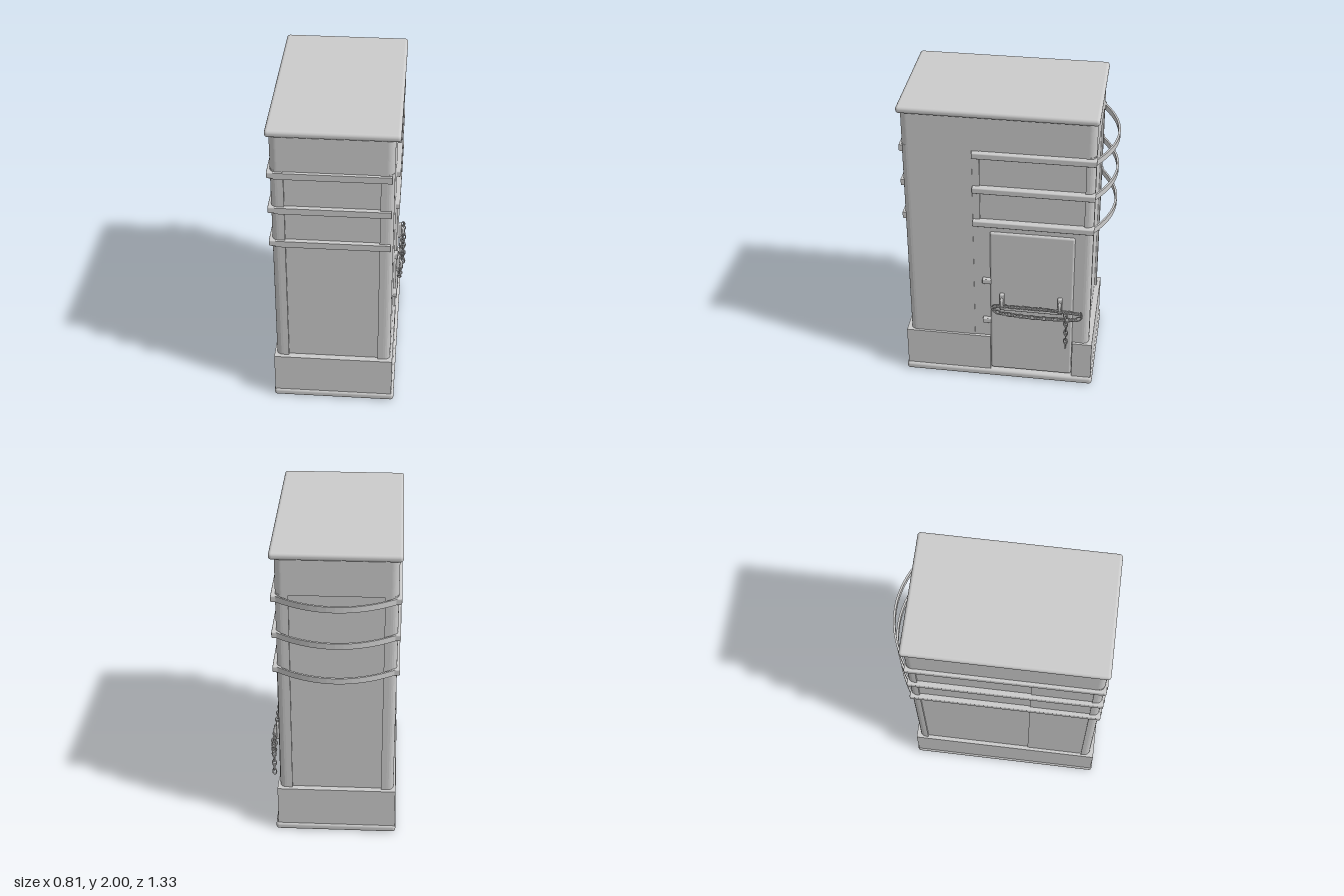
import * as THREE from 'three';
import { RoundedBoxGeometry } from 'three/addons/geometries/RoundedBoxGeometry.js';

const grey = new THREE.MeshStandardMaterial({ color: 0xcccccc });

export function createModel() {
  const model = new THREE.Group();

  function add(name, geometry, parent = model) {
    const mesh = new THREE.Mesh(geometry, grey);
    mesh.name = name;
    parent.add(mesh);
    return mesh;
  }

  // Box given by its limits, with optional edge radius
  function block(name, x, y, z, r = 0) {
    const size = [x, y, z].map(([a, b]) => b - a);
    const geo = r ? new RoundedBoxGeometry(...size, 3, r) : new THREE.BoxGeometry(...size);
    return add(name, geo).translateX((x[0] + x[1]) / 2).translateY((y[0] + y[1]) / 2).translateZ((z[0] + z[1]) / 2);
  }

  // Plan outline (x, -z) raised from y0 to y1
  function raise(name, shape, y0, y1) {
    const geo = new THREE.ExtrudeGeometry(shape, { depth: y1 - y0, bevelEnabled: false, curveSegments: 6 });
    geo.rotateX(-Math.PI / 2).translate(0, y0, 0);
    return add(name, geo);
  }

  function roundedPlan(x0, x1, z0, z1, r) {
    const s = new THREE.Shape(), a = -z1, b = -z0;
    s.absarc(x1 - r, a + r, r, -Math.PI / 2, 0);
    s.absarc(x1 - r, b - r, r, 0, Math.PI / 2);
    s.absarc(x0 + r, b - r, r, Math.PI / 2, Math.PI);
    s.absarc(x0 + r, a + r, r, Math.PI, Math.PI * 1.5);
    return s;
  }

  // Base rim and roof slab
  block('baseRim', [-0.405, 0.37], [0, 0.052], [-0.58, 0.665], 0.02);
  block('roofSlab', [-0.405, 0.37], [1.955, 2], [-0.56, 0.645], 0.02);

  // Plinth, notched for the door
  const plinth = new THREE.Shape([
    [-0.398, -0.655], [0.355, -0.655], [0.355, -0.097], [0.32, -0.097],
    [0.32, 0.442], [0.355, 0.442], [0.355, 0.57], [-0.398, 0.57],
  ].map(([x, y]) => new THREE.Vector2(x, y)));
  raise('plinth', plinth, 0.04, 0.325);

  // Recessed wall core and the fascia under the roof
  raise('wallPanels', roundedPlan(-0.372, 0.326, -0.532, 0.615, 0.04), 0.3, 1.75);
  raise('fascia', roundedPlan(-0.385, 0.34, -0.547, 0.63, 0.045), 1.725, 1.96);

  // Corner posts with a rounded outer edge
  for (const [x, sx] of [[-0.385, 1], [0.34, -1]]) {
    for (const [y, sy, d] of [[0.547, -1, 0.057], [-0.63, 1, 0.06]]) {
      const r = 0.045, w = 0.08, s = new THREE.Shape();
      s.moveTo(x + sx * w, y + sy * d);
      s.lineTo(x + sx * w, y);
      s.lineTo(x + sx * r, y);
      s.quadraticCurveTo(x, y, x, y + sy * r);
      s.lineTo(x, y + sy * d);
      raise('cornerPost', s, 0.31, 1.73);
    }
  }

  // Side walls beside the posts
  block('leftFrontPanel', [0.3, 0.34], [0.31, 1.73], [0.2, 0.575]);
  block('doorPost', [0.3, 0.336], [0.31, 1.73], [0.155, 0.2]);
  block('doorSurround', [0.3, 0.336], [0.31, 1.2], [-0.5, 0.16]);
  block('rightFrontPanel', [-0.378, -0.34], [0.31, 1.73], [0.2, 0.575]);

  // Door and hinges
  block('door', [0.3, 0.351], [0.06, 1.15], [-0.438, 0.095], 0.014);
  for (const y of [0.46, 0.775]) {
    block('hinge', [0.32, 0.362], [y - 0.018, y + 0.018], [0.088, 0.145], 0.006);
  }

  // Three rows of straps, bowed outward across the back
  for (const y of [1.215, 1.456, 1.7]) {
    const h = [y - 0.021, y + 0.021];
    block('frontStrap', [-0.362, 0.325], h, [0.6, 0.645]);
    block('leftStrap', [0.31, 0.365], h, [-0.552, 0.2], 0.008);
    block('rightStrap', [-0.403, -0.35], h, [-0.552, 0.64], 0.008);

    const bow = new THREE.Shape(), n = 14;
    const point = (i, inset) => {
      const t = i / n * 2 - 1;
      return [-0.018 + t * 0.355, 0.55 + 0.115 * (1 - t * t) - inset];
    };
    for (let i = 0; i <= n; i++) bow[i ? 'lineTo' : 'moveTo'](...point(i, 0));
    for (let i = n; i >= 0; i--) bow.lineTo(...point(i, 0.013));
    raise('bowedBackStrap', bow, y - 0.019, y + 0.019);
  }

  // Door handle: two brackets and a bar
  for (const z of [0.018, -0.355]) {
    block('handleBracket', [0.345, 0.372], [0.57, 0.69], [z - 0.015, z + 0.015], 0.008);
    const hook = new THREE.CatmullRomCurve3([[0.355, 0.66], [0.378, 0.65], [0.382, 0.61], [0.37, 0.578]]
      .map(([x, y]) => new THREE.Vector3(x, y, z)));
    add('handleHook', new THREE.TubeGeometry(hook, 10, 0.01, 8));
  }
  block('handleBar', [0.36, 0.376], [0.568, 0.588], [-0.37, 0.03], 0.006);

  // Chain of alternating oval links
  const link = new THREE.TorusGeometry(0.0125, 0.004, 6, 12).scale(1.8, 1, 1);
  function chain(name, points, closed) {
    const group = new THREE.Group();
    group.name = name;
    model.add(group);
    const path = new THREE.CatmullRomCurve3(points.map((p) => new THREE.Vector3(...p)), closed);
    const count = 2 * Math.round(path.getLength() / 0.074);
    const out = new THREE.Vector3(1, 0, 0);
    for (let i = 0; i < count; i++) {
      const tangent = path.getTangentAt(i / count);
      const across = new THREE.Vector3().crossVectors(out, tangent).normalize();
      const normal = new THREE.Vector3().crossVectors(tangent, across);
      const mesh = add('chainLink', link, group);
      mesh.quaternion.setFromRotationMatrix(new THREE.Matrix4().makeBasis(tangent, across, normal));
      mesh.rotateX(i % 2 ? Math.PI / 2 : 0.15);
      mesh.position.copy(path.getPointAt(i / count));
    }
  }
  chain('chainLoop', [
    [0.374, 0.595, 0.06], [0.382, 0.607, -0.05], [0.382, 0.605, -0.3], [0.385, 0.6, -0.44],
    [0.378, 0.585, -0.495], [0.378, 0.55, -0.475], [0.382, 0.536, -0.3], [0.38, 0.536, -0.1],
    [0.374, 0.555, 0.06], [0.372, 0.578, 0.078],
  ], true);
  chain('hangingChain', [[0.388, 0.58, -0.395], [0.388, 0.45, -0.4], [0.388, 0.3, -0.4]], false);

  return model;
}
